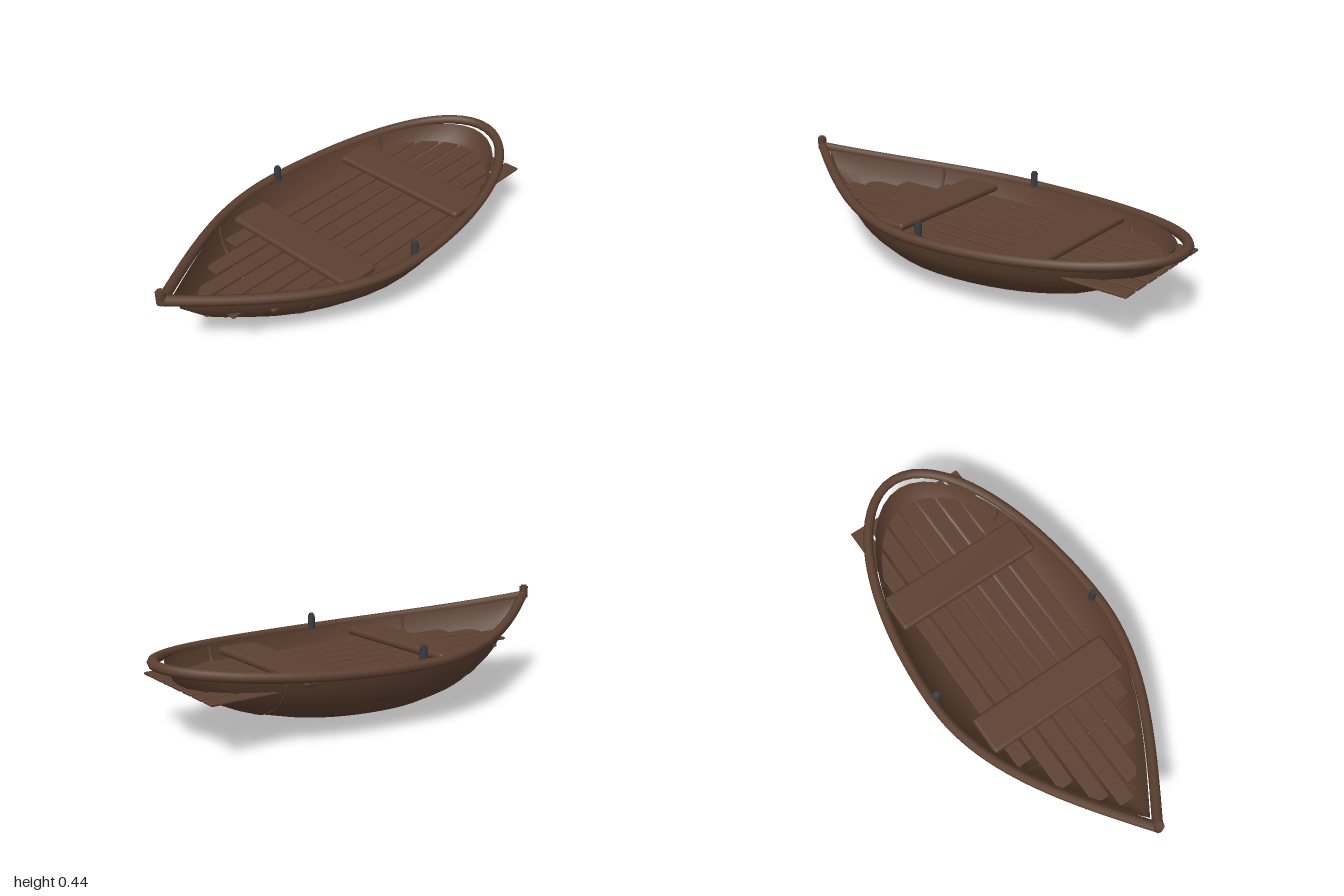
import * as THREE from 'three';
import { mergeVertices } from 'three/addons/utils/BufferGeometryUtils.js';
import { RoundedBoxGeometry } from 'three/addons/geometries/RoundedBoxGeometry.js';

const HALF_WIDTH = 0.415, HALF_LENGTH = 0.93, DEPTH = 0.28;

// Rise of the sheer line towards bow (+z) and stern (-z)
const sheer = (z) => (z > 0 ? 0.12 : 0.05) * z * z;
// Pinches the round stern outline into a pointed bow
const pinch = (t) => (t <= 0 ? 1 : t > 0.9999 ? 0 : Math.cos(t * Math.PI / 2) / Math.sqrt(1 - t * t));

// Maps a point of the unit lower hemisphere onto the hull
function hullPoint(x, y, z, s = 1) {
  const pz = z * HALF_LENGTH;
  return new THREE.Vector3(x * pinch(z) * HALF_WIDTH * s, DEPTH * (1 + y * s) + sheer(pz), pz);
}

export function createModel() {
  const group = new THREE.Group();
  const wood = new THREE.MeshStandardMaterial({ color: 0x5c4030, side: THREE.DoubleSide });
  wood.name = 'brown wood';
  const iron = new THREE.MeshStandardMaterial({ color: 0x3a3c42 });
  iron.name = 'dark iron';

  const add = (name, geometry, material, x = 0, y = 0, z = 0) => {
    const mesh = new THREE.Mesh(geometry, material);
    mesh.name = name;
    mesh.position.set(x, y, z);
    group.add(mesh);
    return mesh;
  };

  // Hull: half sphere reshaped into a boat
  let hull = new THREE.SphereGeometry(1, 48, 6, 0, Math.PI * 2, Math.PI / 2, Math.PI / 2);
  hull.deleteAttribute('uv');
  hull.deleteAttribute('normal');
  const p = hull.attributes.position;
  for (let i = 0; i < p.count; i++) {
    const v = hullPoint(p.getX(i), p.getY(i), p.getZ(i));
    p.setXYZ(i, v.x, v.y, v.z);
  }
  hull = mergeVertices(hull, 1e-5);
  hull.computeVertexNormals();
  add('hull', hull, wood);

  // Gunwale rail: from the bow around the stern and back
  const railPoints = [];
  for (let i = 0; i <= 48; i++) {
    const a = (i / 48) * Math.PI * 2;
    const t = Math.cos(a), z = t * 0.977;
    railPoints.push(new THREE.Vector3(Math.sin(a) * pinch(t) * 0.434, 0.28 + sheer(z), z));
  }
  add('gunwale', new THREE.TubeGeometry(new THREE.CatmullRomCurve3(railPoints), 96, 0.022, 8, false), wood);

  // Bow post with a small cap
  add('bowPost', new THREE.CylinderGeometry(0.02, 0.02, 0.055, 8), wood, 0, 0.4105, 0.98);
  add('bowPostCap', new THREE.CylinderGeometry(0.013, 0.013, 0.008, 8), wood, 0, 0.441, 0.98);

  // Floor planks, shorter towards the sides
  const plankFront = [0.81, 0.745, 0.61, 0.43];
  for (let i = -3; i <= 3; i++) {
    const front = plankFront[Math.abs(i)], back = -0.905;
    add('floorPlank', new RoundedBoxGeometry(0.073, 0.012, front - back, 2, 0.005), wood,
      i * 0.085, 0.23, (front + back) / 2);
  }

  // Bench seats
  add('frontSeat', new RoundedBoxGeometry(0.68, 0.034, 0.18, 3, 0.015), wood, 0, 0.262, 0.245);
  add('rearSeat', new RoundedBoxGeometry(0.70, 0.034, 0.18, 3, 0.015), wood, 0, 0.262, -0.44);

  // Ribs lying against the inside of the hull
  for (const z of [0.45, -0.59]) {
    const t = z / HALF_LENGTH, r = Math.sqrt(1 - t * t), points = [];
    for (let i = 0; i <= 12; i++) {
      const a = (i / 12) * Math.PI;
      points.push(hullPoint(Math.cos(a) * r, -Math.sin(a) * r, t, 0.975));
    }
    add('rib', new THREE.TubeGeometry(new THREE.CatmullRomCurve3(points), 24, 0.007, 6, false), wood);
  }

  // Oarlocks on both sides
  for (const side of [1, -1]) {
    add('oarlock', new THREE.CylinderGeometry(0.016, 0.016, 0.065, 8), iron, side * 0.41, 0.3135, 0);
    add('oarlockCap', new THREE.CylinderGeometry(0.011, 0.011, 0.008, 8), iron, side * 0.41, 0.35, 0);
  }
  return group;
}
